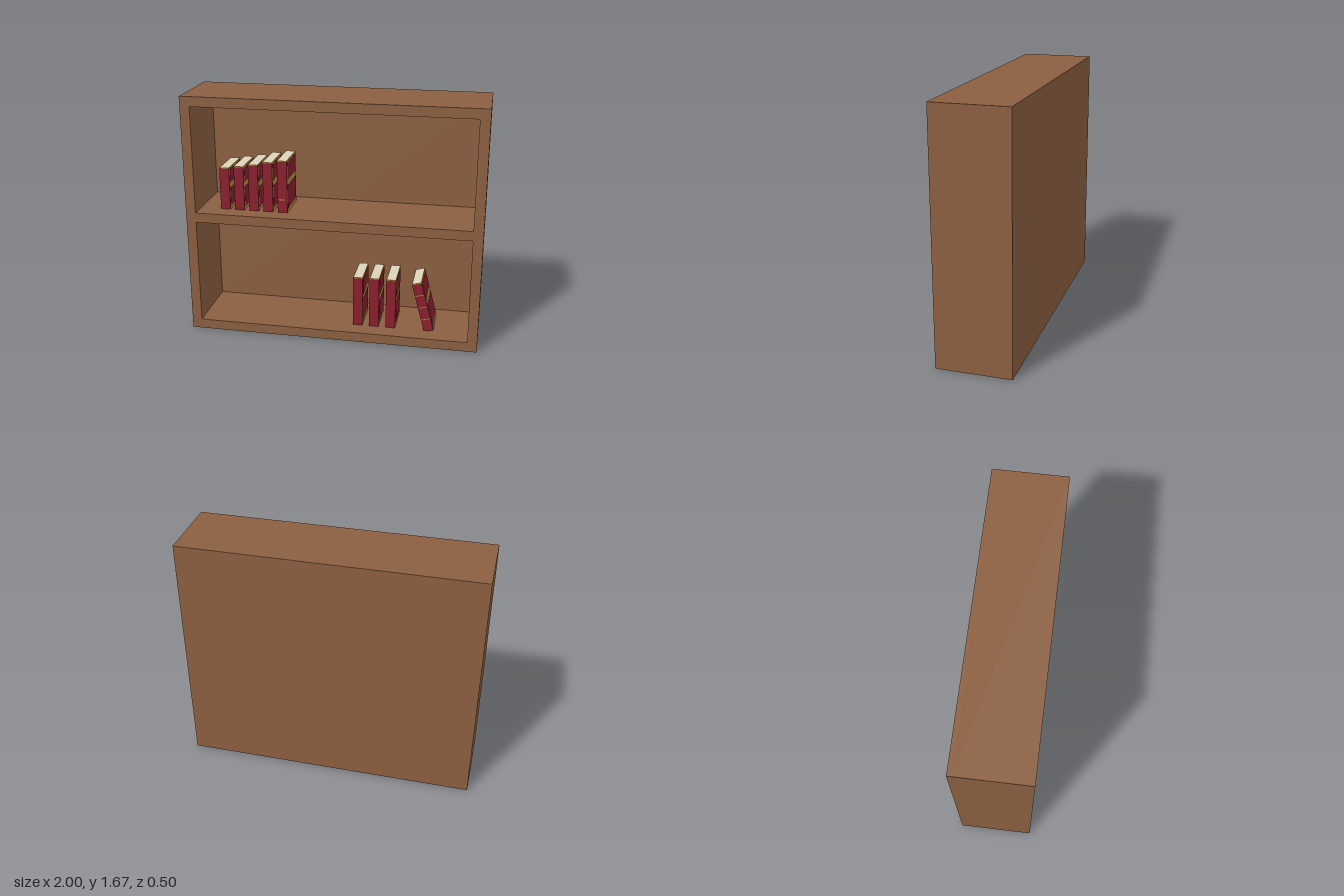
import * as THREE from 'three';

const W = 2, H = 1.667, D = 0.5, T = 0.067, BACK = 0.033;
const SHELF_TOP = 0.867, BOOK_W = 0.067, BOOK_D = 0.26, BOOK_H = 0.36;

const material = (name, color) => {
  const m = new THREE.MeshStandardMaterial({ color });
  m.name = name;
  return m;
};

function box(parent, name, mat, [w, h, d], [x, y, z]) {
  const mesh = new THREE.Mesh(new THREE.BoxGeometry(w, h, d), mat);
  mesh.name = name;
  mesh.position.set(x, y, z);
  parent.add(mesh);
  return mesh;
}

function rectangle(target, x0, y0, x1, y1) {
  target.moveTo(x0, y0);
  target.lineTo(x1, y0);
  target.lineTo(x1, y1);
  target.lineTo(x0, y1);
  target.closePath();
  return target;
}

export function createModel() {
  const wood = material('wood', 0x8b5f40);
  const red = material('red leather', 0x8a1f2d);
  const gold = material('gold trim', 0xb0903f);
  const cream = material('page cream', 0xdad3bd);

  const model = new THREE.Group();
  model.name = 'bookcase';

  // Frame with two open compartments, closed by a back panel
  const outline = rectangle(new THREE.Shape(), -W / 2, 0, W / 2, H);
  const inner = W / 2 - T;
  outline.holes.push(
    rectangle(new THREE.Path(), -inner, T, inner, SHELF_TOP - T),
    rectangle(new THREE.Path(), -inner, SHELF_TOP, inner, H - T)
  );
  const frame = new THREE.Mesh(
    new THREE.ExtrudeGeometry(outline, { depth: D - BACK, bevelEnabled: false }), wood);
  frame.name = 'frame';
  frame.position.z = -D / 2 + BACK;
  model.add(frame);
  box(model, 'backPanel', wood, [W, H, BACK], [0, H / 2, -D / 2 + BACK / 2]);

  // One book standing on its origin, spine towards the front
  function addBook(name, x, y, h, spineLines = [], lean = 0) {
    const book = new THREE.Group();
    book.name = name;
    book.position.set(x, y, 0);
    book.rotation.z = lean;
    model.add(book);

    const front = BOOK_D / 2, spine = 0.012, cover = 0.006, cap = 0.006;
    const bodyD = BOOK_D - spine, bodyZ = -spine / 2;
    box(book, 'spine', red, [BOOK_W, h - cap, spine], [0, (h - cap) / 2, front - spine / 2]);
    box(book, 'spineCap', gold, [BOOK_W, cap, spine], [0, h - cap / 2, front - spine / 2]);
    box(book, 'pages', cream, [BOOK_W - 2 * cover, h, bodyD], [0, h / 2, bodyZ]);

    // Gilded covers with two red panels on each side
    for (const side of [-1, 1]) {
      box(book, 'cover', gold, [cover, h, bodyD], [side * (BOOK_W - cover) / 2, h / 2, bodyZ]);
      for (const [from, to] of [[0.07, 0.52], [0.63, 0.96]]) {
        box(book, 'coverPanel', red, [0.002, (to - from) * h, bodyD - 0.02],
          [side * (BOOK_W / 2 + 0.0005), (from + to) / 2 * h, bodyZ]);
      }
    }
    for (const f of spineLines) {
      box(book, 'spineLine', gold, [BOOK_W, 0.006, 0.002], [0, f * h, front + 0.0005]);
    }
  }

  // Upper row, rising to the right
  [0.293, 0.308, 0.325, 0.347, 0.363].forEach((h, i) =>
    addBook('upperBook', -0.757 + i * 0.1005, SHELF_TOP, h, i === 4 ? [0.25] : []));

  // Lower row with one leaning book
  for (const x of [0.167, 0.281, 0.397]) addBook('lowerBook', x, T, BOOK_H);
  addBook('leaningBook', 0.664, 0.068, BOOK_H, [0.25, 0.5, 0.75], THREE.MathUtils.degToRad(15));

  return model;
}
